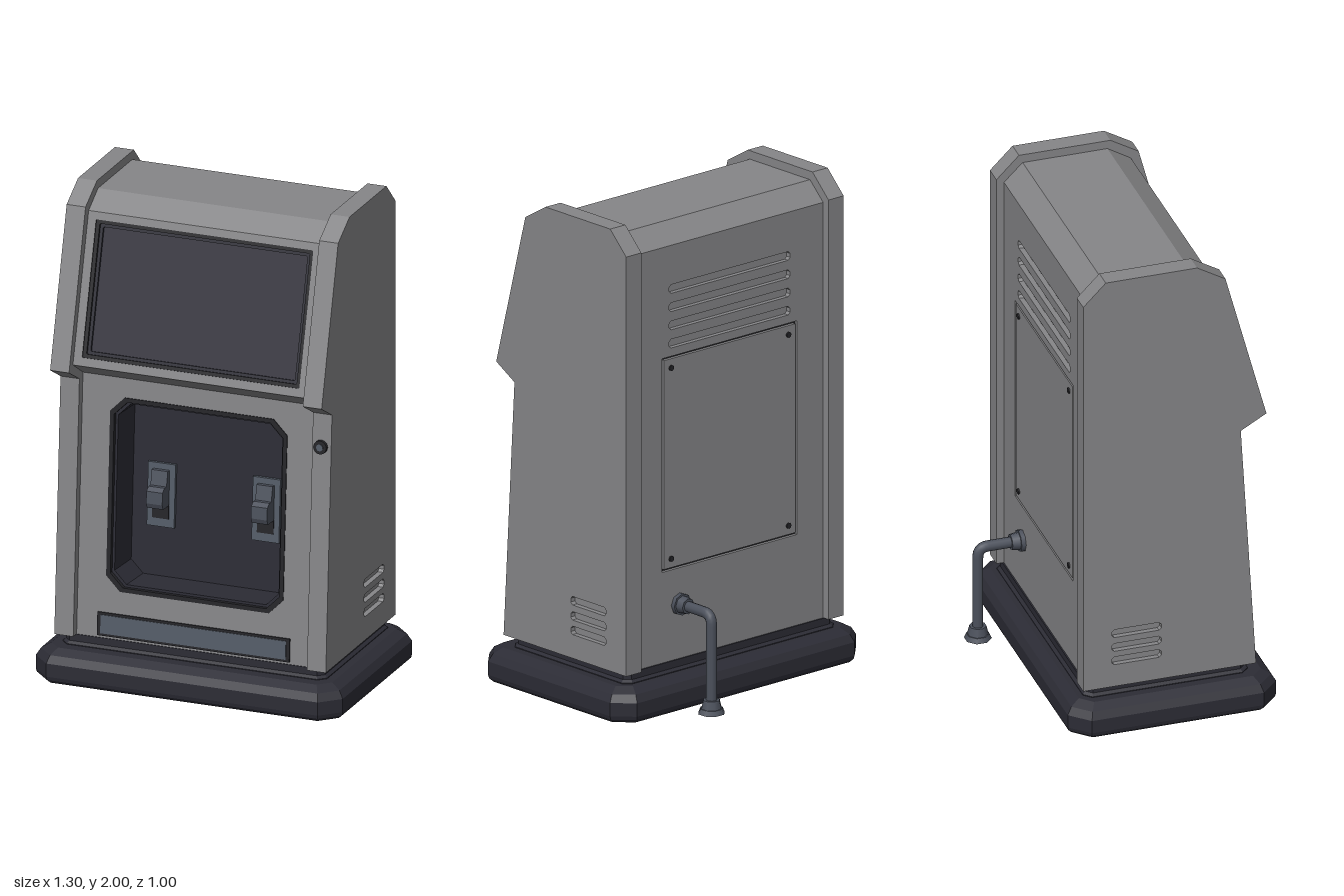
import * as THREE from 'three';

const mat = (name, color) => {
  const m = new THREE.MeshStandardMaterial({ color });
  m.name = name;
  return m;
};

// Rectangle with cut corners, centred on (x, y)
function cutRect(w, h, c, x = 0, y = 0, Type = THREE.Shape) {
  const a = w / 2, b = h / 2;
  const pts = [[-a + c, -b], [a - c, -b], [a, -b + c], [a, b - c], [a - c, b], [-a + c, b], [-a, b - c], [-a, -b + c]];
  return new Type(pts.map(p => new THREE.Vector2(x + p[0], y + p[1])));
}

// Slab whose front is at z = 0 and which reaches back by depth
function slab(shape, depth, holes = []) {
  shape.holes.push(...holes);
  const g = new THREE.ExtrudeGeometry(shape, { depth, bevelEnabled: false });
  g.translate(0, 0, -depth);
  return g;
}

// Side profile of [z, y] points, extruded across x
function sideProfile(points, width, holes = []) {
  const shape = new THREE.Shape(points.map(p => new THREE.Vector2(p[0], p[1])));
  shape.holes.push(...holes);
  const g = new THREE.ExtrudeGeometry(shape, { depth: width, bevelEnabled: false });
  g.translate(0, 0, -width / 2);
  g.rotateY(-Math.PI / 2);
  return g;
}

// Stack of cut-corner cross-sections, each level [y, inset]
function loft(w, d, c, levels) {
  const rings = levels.map(([y, i]) =>
    cutRect(w - 2 * i, d - 2 * i, c - i * 0.5).getPoints().slice(0, 8).map(p => [p.x, y, -p.y]));
  const pos = [];
  const tri = (...v) => v.forEach(p => pos.push(...p));
  for (let k = 0; k < rings.length - 1; k++) {
    for (let i = 0; i < 8; i++) {
      const j = (i + 1) % 8, lo = rings[k], hi = rings[k + 1];
      tri(lo[i], lo[j], hi[j]);
      tri(lo[i], hi[j], hi[i]);
    }
  }
  const bottom = rings[0], top = rings[rings.length - 1];
  for (let i = 1; i < 7; i++) {
    tri(top[0], top[i], top[i + 1]);
    tri(bottom[0], bottom[i + 1], bottom[i]);
  }
  const g = new THREE.BufferGeometry();
  g.setAttribute('position', new THREE.Float32BufferAttribute(pos, 3));
  g.computeVertexNormals();
  return g;
}

export function createModel() {
  const root = new THREE.Group();
  root.name = 'kioskCabinet';
  const body = mat('cabinet grey', 0x868688);
  const dark = mat('base charcoal', 0x2c2c35);
  const glass = mat('screen glass', 0x32313c);
  const trim = mat('black trim', 0x242428);
  const slate = mat('slate metal', 0x545c67);
  const pipeMat = mat('pipe metal', 0x4c515c);

  const add = (parent, name, geo, material, x = 0, y = 0, z = 0) => {
    const m = new THREE.Mesh(geo, material);
    m.name = name;
    m.position.set(x, y, z);
    parent.add(m);
    return m;
  };
  const box = (w, h, d) => new THREE.BoxGeometry(w, h, d);
  const disc = (r1, r2, h, n = 12) => new THREE.CylinderGeometry(r1, r2, h, n).rotateX(Math.PI / 2);
  const section = (name, y, z, tilt) => {
    const g = new THREE.Group();
    g.name = name;
    g.position.set(0, y, z);
    g.rotation.x = -tilt;
    root.add(g);
    return g;
  };

  // Base and neck
  add(root, 'base', loft(1.3, 0.86, 0.075, [[0, 0.02], [0.015, 0.004], [0.03, 0], [0.085, 0], [0.115, 0.018], [0.137, 0.055]]), dark, 0, 0, 0.073);
  add(root, 'neck', loft(1.12, 0.68, 0.03, [[0.13, 0], [0.14, 0], [0.15, 0.012], [0.18, 0.012]]), dark, 0, 0, 0.06);

  // Side panels with vent slots
  const panel = [[0.42, 0.18], [0.357, 1.235], [0.463, 1.295], [0.294, 1.93], [0.177, 2], [-0.2, 2], [-0.293, 1.907], [-0.293, 0.18]];
  for (const s of [1, -1]) {
    const slots = [0.417, 0.355, 0.295].map(y => cutRect(0.205, 0.035, 0.01, -0.073, y, THREE.Path));
    add(root, 'sidePanel', sideProfile(panel, 0.08, slots), body, s * 0.535, 0, 0);
    add(root, 'sideVentBacking', box(0.04, 0.22, 0.25), body, s * 0.533, 0.355, -0.073);
  }

  // Inner cabinet, stepped back behind the front and rear panels
  const A = 0.2664, B = 0.0607;
  const onSlope = (s, d) => [0.423 - s * Math.sin(A) - d * Math.cos(A), 1.315 + s * Math.cos(A) - d * Math.sin(A)];
  add(root, 'cabinetCore', sideProfile([
    [0.185, 0.18], [0.12, 1.25], [0.32, 1.25], [0.423, 1.315],
    onSlope(0.015, 0), onSlope(0.015, 0.04), onSlope(0.6, 0.04), onSlope(0.6, 0),
    [0.262, 1.905], [0.165, 1.965], [-0.185, 1.965], [-0.262, 1.89],
    [-0.262, 1.85], [-0.242, 1.85], [-0.242, 0.18],
  ], 0.99), body);

  // Screen section
  const upper = section('screenSection', 1.315, 0.423, A);
  const midS = 0.3075;
  add(upper, 'screenSurround', slab(cutRect(0.99, 0.585, 0, 0, midS), 0.04,
    [cutRect(0.92, 0.547, 0.004, 0, midS, THREE.Path)]), [body, trim]);
  add(upper, 'screenFrame', slab(cutRect(0.92, 0.547, 0.004, 0, midS), 0.03,
    [cutRect(0.89, 0.517, 0.004, 0, midS, THREE.Path)]), trim, 0, 0, -0.005);
  add(upper, 'screenInnerFrame', slab(cutRect(0.89, 0.517, 0.004, 0, midS), 0.02,
    [cutRect(0.865, 0.492, 0.004, 0, midS, THREE.Path)]), dark, 0, 0, -0.015);
  add(upper, 'screen', box(0.89, 0.517, 0.009), glass, 0, midS, -0.03);

  // Lower front with deep alcove
  const lower = section('lowerFront', 0.18, 0.385, B);
  const midA = 0.595;
  add(lower, 'lowerFrontPanel', slab(cutRect(0.99, 1.072, 0, 0, 0.536), 0.2,
    [cutRect(0.75, 0.795, 0.06, 0, midA, THREE.Path)]), [body, dark]);
  add(lower, 'alcoveFrame', slab(cutRect(0.75, 0.795, 0.06, 0, midA), 0.04,
    [cutRect(0.715, 0.76, 0.055, 0, midA, THREE.Path)]), trim, 0, 0, 0.004);
  add(lower, 'alcoveLining', slab(cutRect(0.74, 0.785, 0.058, 0, midA), 0.18,
    [cutRect(0.695, 0.74, 0.052, 0, midA, THREE.Path)]), dark, 0, 0, -0.015);
  add(lower, 'alcoveBack', box(0.74, 0.785, 0.009), dark, 0, midA, -0.19);

  // Holders mounted inside the alcove
  for (const s of [1, -1]) {
    const holder = new THREE.Group();
    holder.name = 'holder';
    holder.position.set(s * 0.222, 0.56, -0.186);
    lower.add(holder);
    add(holder, 'holderPlate', box(0.116, 0.26, 0.02), slate, 0, 0, 0.005);
    add(holder, 'holderRecess', box(0.07, 0.06, 0.006), trim, 0, -0.065, 0.016);
    add(holder, 'holderHook', sideProfile([[0.01, -0.04], [0.075, -0.04], [0.085, -0.02], [0.085, 0.03],
      [0.065, 0.045], [0.045, 0.045], [0.035, 0.105], [0.01, 0.105]], 0.068), pipeMat);
  }

  // Tray flap
  add(lower, 'trayFrame', box(0.815, 0.096, 0.012), trim, 0, 0.057, 0);
  add(lower, 'trayFlap', box(0.785, 0.076, 0.014), slate, 0, 0.057, 0.002);

  // Lock on the left side panel
  const lock = section('lock', 1.1, 0.366, B);
  lock.position.x = 0.533;
  add(lock, 'lockRing', disc(0.028, 0.028, 0.03), trim);
  add(lock, 'lockCore', disc(0.014, 0.014, 0.038), slate);

  // Rear panel with vents and service door
  const rear = new THREE.Group();
  rear.name = 'rear';
  rear.position.z = -0.262;
  rear.rotation.y = Math.PI;
  root.add(rear);
  const vents = [1.71, 1.635, 1.56, 1.485].map(y => cutRect(0.64, 0.036, 0.01, 0, y, THREE.Path));
  add(rear, 'rearPanel', slab(cutRect(0.99, 1.67, 0, 0, 1.015), 0.02,
    [...vents, cutRect(0.715, 0.88, 0, 0, 0.993, THREE.Path)]), body);
  add(rear, 'doorGap', box(0.715, 0.88, 0.006), trim, 0, 0.993, -0.017);
  add(rear, 'serviceDoor', box(0.695, 0.86, 0.016), body, 0, 0.993, -0.008);
  for (const x of [-0.31, 0.31]) {
    for (const y of [0.6, 1.386]) add(rear, 'doorScrew', disc(0.012, 0.012, 0.012, 8), trim, x, y, 0);
  }

  // Supply pipe from the rear down to the floor
  const pipe = new THREE.Group();
  pipe.name = 'pipe';
  pipe.position.x = 0.264;
  root.add(pipe);
  const v = (y, z) => new THREE.Vector3(0, y, z);
  const path = new THREE.CurvePath();
  path.add(new THREE.LineCurve3(v(0.405, -0.25), v(0.405, -0.405)));
  path.add(new THREE.QuadraticBezierCurve3(v(0.405, -0.405), v(0.405, -0.447), v(0.363, -0.447)));
  path.add(new THREE.LineCurve3(v(0.363, -0.447), v(0.01, -0.447)));
  add(pipe, 'pipeTube', new THREE.TubeGeometry(path, 48, 0.022, 10, false), pipeMat);
  add(pipe, 'wallFlange', disc(0.045, 0.045, 0.02, 8), pipeMat, 0, 0.405, -0.27);
  add(pipe, 'wallCollar', disc(0.038, 0.032, 0.04, 8), pipeMat, 0, 0.405, -0.293);
  add(pipe, 'floorFlange', new THREE.CylinderGeometry(0.046, 0.055, 0.02, 8).rotateY(Math.PI / 8), pipeMat, 0, 0.01, -0.447);
  add(pipe, 'floorCollar', new THREE.CylinderGeometry(0.034, 0.042, 0.035, 8).rotateY(Math.PI / 8), pipeMat, 0, 0.037, -0.447);

  return root;
}
